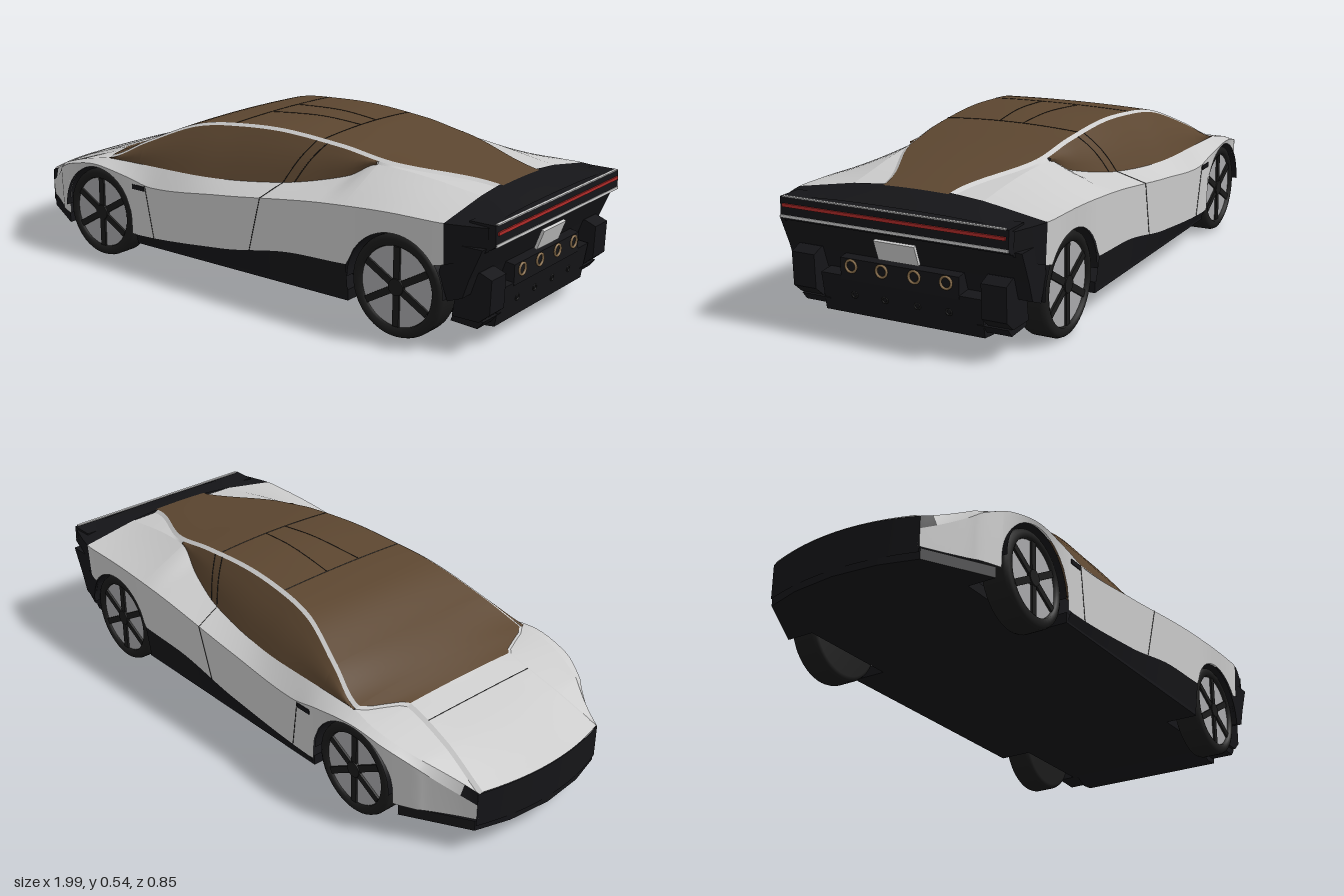
import * as THREE from 'three';

const paint = (color) => new THREE.MeshStandardMaterial({ color, side: THREE.DoubleSide });
const silver = paint(0xcccccc), glass = paint(0x5c4630), black = paint(0x151518);
const rubber = paint(0x1a1a1a), red = paint(0xb02a28), brass = paint(0x8a6f4c), alloy = paint(0xa8a8aa);

const WHEELS = [{ x: -0.565, r: 0.155 }, { x: 0.67, r: 0.16 }];
const lerp = THREE.MathUtils.lerp;

// Monotone cubic curve through [x, value] points
function curve(...p) {
  const n = p.length, d = [], m = [];
  for (let i = 0; i < n - 1; i++) d.push((p[i + 1][1] - p[i][1]) / (p[i + 1][0] - p[i][0]));
  for (let i = 0; i < n; i++) {
    const a = d[Math.max(i - 1, 0)], b = d[Math.min(i, n - 2)];
    m.push(a * b > 0 ? 2 * a * b / (a + b) : 0);
  }
  return (x) => {
    let i = 0;
    while (i < n - 2 && x > p[i + 1][0]) i++;
    const h = p[i + 1][0] - p[i][0], t = Math.min(Math.max((x - p[i][0]) / h, 0), 1);
    const s = t * t * (3 - 2 * t);
    return lerp(p[i][1], p[i + 1][1], s) + h * t * (1 - t) * ((1 - t) * m[i] - t * m[i + 1]);
  };
}

// Rails along the car, each giving [z, y] at x
const width = curve([-1, 0.27], [-0.85, 0.345], [-0.68, 0.412], [-0.5, 0.424], [0.8, 0.424], [0.985, 0.38]);
const skirtY = curve([-1, 0.12], [-0.4, 0.115], [0, 0.145], [0.3, 0.192], [0.5, 0.2], [0.84, 0.27], [0.985, 0.335]);
const creaseY = curve([-1, 0.175], [-0.85, 0.245], [-0.7, 0.31], [-0.565, 0.332], [-0.42, 0.315], [-0.3, 0.295],
  [0, 0.325], [0.45, 0.38], [0.7, 0.394], [0.985, 0.396]);
const beltZ = curve([-1, 0.266], [-0.62, 0.385], [-0.54, 0.375], [-0.2, 0.373], [0, 0.358], [0.2, 0.33], [0.35, 0.29],
  [0.49, 0.246], [0.85, 0.22], [0.985, 0.3]);
const beltY = curve([-1, 0.215], [-0.8, 0.285], [-0.62, 0.337], [-0.54, 0.348], [-0.1, 0.355], [0.15, 0.375], [0.4, 0.425],
  [0.49, 0.47], [0.85, 0.428], [0.985, 0.403]);
const edgeZ = curve([-1, 0.255], [-0.62, 0.22], [-0.54, 0.358], [-0.4, 0.322], [-0.2, 0.268], [0, 0.246], [0.5, 0.225],
  [0.85, 0.11], [0.985, 0.2]);
const edgeY = curve([-1, 0.219], [-0.8, 0.29], [-0.62, 0.344], [-0.54, 0.357], [-0.4, 0.425], [-0.2, 0.503], [-0.1, 0.517],
  [0.1, 0.527], [0.35, 0.51], [0.49, 0.487], [0.85, 0.438], [0.985, 0.406]);
const spineY = curve([-1, 0.224], [-0.8, 0.295], [-0.62, 0.348], [-0.4, 0.437], [-0.2, 0.508], [0, 0.53], [0.13, 0.536],
  [0.28, 0.526], [0.5, 0.495], [0.85, 0.44], [0.985, 0.408]);

const archR = (w) => w.r + 0.01;
const sill = (x) => [width(x) - 0.02, 0.085];
const skirt = (x) => {
  let y = skirtY(x);
  for (const w of WHEELS) {
    const d = archR(w) ** 2 - (x - w.x) ** 2;
    if (d >= 0) y = Math.max(y, w.r + Math.sqrt(d));
  }
  return [width(x) - 0.006, Math.min(y, creaseY(x) - 0.002)];
};
const crease = (x) => [width(x), creaseY(x)];
const belt = (x) => [beltZ(x), beltY(x)];
const pillar = (x) => [edgeZ(x) + 0.013, edgeY(x) - 0.008];
const edge = (x) => [edgeZ(x), edgeY(x)];

// Stations include every break in the surface
const STATIONS = [-0.95, -0.62, -0.54, 0.49, 0.84, 0.85];
for (let i = 0; i <= 100; i++) STATIONS.push(-1 + i * 1.985 / 100);
for (const w of WHEELS) for (const s of [-1, 1]) STATIONS.push(w.x + s * (archR(w) - 1e-6), w.x + s * (archR(w) + 1e-4));
STATIONS.sort((a, b) => a - b);

// The nose is bowed in plan
const bow = (x, z) => x + 0.045 * (z / 0.27) ** 2 * Math.min(Math.max((-0.8 - x) / 0.2, 0), 1);

function surface(at, us, n, flip) {
  const pos = [], idx = [], row = n + 1;
  us.forEach((u, i) => {
    for (let j = 0; j <= n; j++) pos.push(...at(u, j / n));
    if (i) for (let j = 0; j < n; j++) {
      const a = (i - 1) * row + j, b = a + row;
      if (flip) idx.push(a, b + 1, b, a, a + 1, b + 1);
      else idx.push(a, b, b + 1, a, b + 1, a + 1);
    }
  });
  const g = new THREE.BufferGeometry();
  g.setAttribute('position', new THREE.Float32BufferAttribute(pos, 3));
  g.setIndex(idx);
  g.computeVertexNormals();
  return g;
}

const crown = (x, t) => {
  const k = 1 - 2 * t, z = k * edgeZ(x);
  return [bow(x, z), lerp(spineY(x), edgeY(x), k * k), z];
};

export function createModel() {
  const car = new THREE.Group();
  car.name = 'car';
  const add = (name, geo, mat, x = 0, y = 0, z = 0, parent = car) => {
    const m = new THREE.Mesh(geo, mat);
    m.name = name;
    m.position.set(x, y, z);
    parent.add(m);
    return m;
  };
  const box = (name, mat, sx, sy, sz, x, y, z) => add(name, new THREE.BoxGeometry(sx, sy, sz), mat, x, y, z);
  const span = (a, b) => STATIONS.filter((x) => x >= a && x <= b);

  // Side strips, mirrored
  const strip = (name, A, B, x0, x1, mat, bulge = 0) => {
    for (const s of [1, -1]) {
      add(name, surface((x, t) => {
        const a = A(x), b = B(x), k = bulge * Math.sin(Math.PI * t);
        const z = lerp(a[0], b[0], t) + k;
        return [bow(x, z), lerp(a[1], b[1], t) + k * 0.5, s * z];
      }, span(x0, x1), 4, s < 0), mat);
    }
  };
  strip('sidePanel', skirt, crease, -1, 0.84, silver);
  strip('noseCorner', crease, belt, -1, -0.95, black);
  strip('shoulder', crease, belt, -0.95, 0.84, silver);
  strip('frontFender', belt, pillar, -1, -0.54, silver);
  strip('sideWindow', belt, pillar, -0.54, 0.49, glass, 0.008);
  strip('rearFender', belt, pillar, 0.49, 0.84, silver);
  strip('roofPillar', pillar, edge, -1, 0.84, silver);
  strip('sill', sill, skirt, -0.396, 0.5, black);
  strip('tailSide', skirt, crease, 0.84, 0.985, black);
  strip('tailShoulder', crease, belt, 0.84, 0.985, black);
  strip('tailFender', belt, edge, 0.84, 0.985, black);

  // Hood, glass canopy and tail deck
  add('hood', surface(crown, span(-1, -0.62), 12), silver);
  add('canopy', surface(crown, span(-0.62, 0.85), 12), glass);
  add('tailDeck', surface(crown, span(0.85, 0.985), 12), black);

  // Nose face
  const across = Array.from({ length: 17 }, (_, i) => -0.27 + i * 0.54 / 16);
  add('noseFace', surface((z, t) => [bow(-1, z), lerp(0.1, 0.222 - 0.1 * z * z, t), z], across, 2), black);

  // Floor with wheel cut-outs
  const half = [[-1, 0], [-0.985, 0.15], [-0.95, 0.27], [-0.745, 0.385], [-0.745, 0.29], [-0.39, 0.29], [-0.39, 0.405],
    [0.5, 0.405], [0.5, 0.29], [0.85, 0.29], [0.9, 0.27]];
  const outline = [...half, ...half.slice(1).reverse().map(([x, z]) => [x, -z])].map((p) => new THREE.Vector2(...p));
  const floor = new THREE.ExtrudeGeometry(new THREE.Shape(outline), { depth: 0.035, bevelEnabled: false });
  add('floor', floor.rotateX(Math.PI / 2), black, 0, 0.115, 0);
  box('core', black, 1.58, 0.18, 0.57, 0.06, 0.19, 0);

  // Wheels and arch liners
  for (const w of WHEELS) for (const s of [1, -1]) {
    const g = new THREE.Group();
    g.name = 'wheel';
    g.position.set(w.x, w.r, s * 0.356);
    if (s < 0) g.rotation.y = Math.PI;
    car.add(g);
    const r = w.r, rim = r * 0.8;
    const prof = [[0.02, -0.047], [r - 0.014, -0.047], [r - 0.004, -0.042], [r, -0.032], [r, 0.032], [r - 0.004, 0.042],
      [r - 0.014, 0.047], [rim, 0.047], [rim - 0.004, 0.03]].map((p) => new THREE.Vector2(...p));
    add('tire', new THREE.LatheGeometry(prof, 48).rotateX(Math.PI / 2), rubber, 0, 0, 0, g);
    add('rimDisc', new THREE.CylinderGeometry(rim, rim, 0.02, 48).rotateX(Math.PI / 2), alloy, 0, 0, 0.027, g);
    for (let k = 0; k < 6; k++) {
      const spoke = new THREE.BoxGeometry(0.022, rim * 0.94, 0.01).translate(0, rim * 0.5, 0);
      add('spoke', spoke, rubber, 0, 0, 0.039, g).rotation.z = k * Math.PI / 3;
    }
    add('hub', new THREE.CylinderGeometry(0.026, 0.03, 0.02, 24).rotateX(Math.PI / 2), rubber, 0, 0, 0.037, g);
    const liner = new THREE.CylinderGeometry(archR(w), archR(w), 0.125, 32, 1, true, 0, Math.PI);
    add('archLiner', liner.rotateZ(Math.PI / 2).rotateY(Math.PI / 2), black, w.x, w.r, s * 0.35);
  }

  // Tail: lamp panel, bumper, diffuser and pods, extruded from side profiles
  const slab = (name, pts, depth, z) => {
    const shape = new THREE.Shape(pts.map((p) => new THREE.Vector2(...p)));
    add(name, new THREE.ExtrudeGeometry(shape, { depth, bevelEnabled: false }), black, 0, 0, z - depth / 2);
  };
  slab('lampPanel', [[0.9, 0.33], [0.97, 0.33], [0.988, 0.345], [0.985, 0.405], [0.9, 0.405]], 0.758, 0);
  slab('bumper', [[0.82, 0.24], [0.85, 0.16], [0.9, 0.18], [0.92, 0.24], [0.96, 0.335], [0.84, 0.335]], 0.81, 0);
  slab('diffuser', [[0.8, 0.09], [0.88, 0.055], [0.93, 0.06], [0.95, 0.18], [0.85, 0.19]], 0.54, 0);
  slab('exhaustPanel', [[0.85, 0.17], [0.95, 0.17], [0.95, 0.235], [0.85, 0.25]], 0.4, 0);
  for (const s of [1, -1]) {
    slab('bumperPod', [[0.84, 0.1], [0.93, 0.1], [0.965, 0.13], [0.968, 0.235], [0.93, 0.25], [0.86, 0.24]], 0.08, s * 0.32);
    slab('rearWing', [[0.83, 0.08], [0.92, 0.075], [0.94, 0.1], [0.84, 0.11]], 0.1, s * 0.3);
  }
  box('tailLight', red, 0.008, 0.01, 0.74, 0.987, 0.38, 0);
  box('tailTrim', silver, 0.012, 0.009, 0.757, 0.984, 0.346, 0);
  box('tailTopTrim', silver, 0.01, 0.004, 0.74, 0.983, 0.406, 0);
  box('plate', silver, 0.01, 0.066, 0.136, 0.955, 0.279, 0).rotation.z = -0.35;
  for (const z of [-0.16, -0.055, 0.055, 0.16]) {
    add('exhaustRing', new THREE.TorusGeometry(0.018, 0.004, 8, 24).rotateY(Math.PI / 2), brass, 0.955, 0.214, z);
    add('diffuserPort', new THREE.TorusGeometry(0.009, 0.003, 8, 16).rotateY(Math.PI / 2), rubber, 0.94, 0.123, z);
  }

  // Thin panel seams laid on the skin
  const seam = (name, pts) => add(name,
    new THREE.TubeGeometry(new THREE.CatmullRomCurve3(pts.map((p) => new THREE.Vector3(...p))), 24, 0.0014, 5), rubber);
  const line = (n, f) => Array.from({ length: n }, (_, i) => f(i / (n - 1)));
  for (const x of [-0.7, -0.07, 0.28]) seam('crossSeam', line(11, (t) => crown(x, t)));
  for (const s of [1, -1]) {
    seam('roofSeam', line(7, (t) => crown(lerp(-0.07, 0.28, t), 0.5 + s * lerp(0.14, 0.09, t))));
    const on = (A, B, x, t, k = 0) => {
      const a = A(x), b = B(x), h = k * Math.sin(Math.PI * t);
      return [x, lerp(a[1], b[1], t) + h * 0.5, s * (lerp(a[0], b[0], t) + h)];
    };
    seam('frontDoorSeam', line(6, (t) => on(skirt, crease, lerp(-0.3, -0.33, t), t)));
    seam('rearDoorSeam', line(6, (t) => on(skirt, crease, lerp(0.12, 0.17, t), t)));
    seam('shoulderSeam', line(4, (t) => on(crease, belt, lerp(0.17, 0.19, t), t)));
    for (const d of [0, 0.04]) seam('windowSeam', line(8, (t) => on(belt, pillar, lerp(0.19, 0.26, t) + d, t, 0.008)));
    box('sideVent', black, 0.055, 0.016, 0.01, -0.36, 0.285, s * 0.421);
  }
  return car;
}
